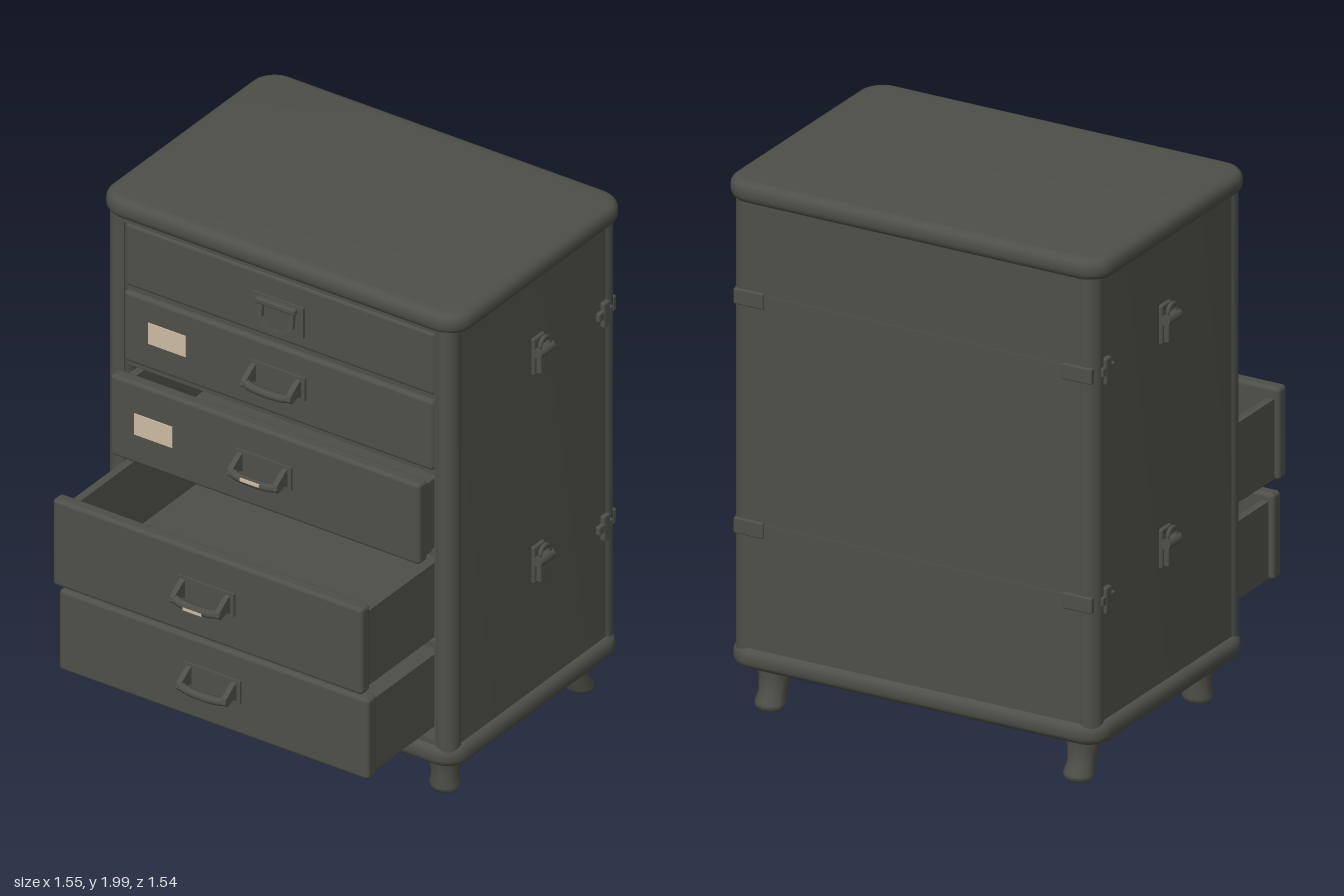
import * as THREE from 'three';
import { toCreasedNormals } from 'three/addons/utils/BufferGeometryUtils.js';
import { RoundedBoxGeometry } from 'three/addons/geometries/RoundedBoxGeometry.js';

const paint = new THREE.MeshStandardMaterial({ color: 0x4f4f49 });
paint.name = 'darkOlivePaint';
const paper = new THREE.MeshStandardMaterial({ color: 0xcdbba3 });
paper.name = 'creamPaper';

function add(parent, name, geometry, x = 0, y = 0, z = 0, material = paint) {
  const mesh = new THREE.Mesh(geometry, material);
  mesh.name = name;
  mesh.position.set(x, y, z);
  parent.add(mesh);
  return mesh;
}

// Box given by its limits on each axis
function block(parent, name, [x0, x1], [y0, y1], [z0, z1], round = 0, material = paint) {
  const s = [x1 - x0, y1 - y0, z1 - z0];
  const geo = round ? new RoundedBoxGeometry(...s, 3, round) : new THREE.BoxGeometry(...s);
  return add(parent, name, geo, (x0 + x1) / 2, (y0 + y1) / 2, (z0 + z1) / 2, material);
}

// Rounded floor plan (plan y is -z), optionally notched for the drawer bay
function plan(hx, zBack, zFront, r, notch = false) {
  const a = -zFront, b = -zBack;
  const s = new THREE.Shape();
  s.moveTo(-hx + r, a);
  if (notch) [[-0.655, a], [-0.655, 0.71], [0.655, 0.71], [0.655, a]].forEach(p => s.lineTo(...p));
  s.lineTo(hx - r, a);
  s.absarc(hx - r, a + r, r, -Math.PI / 2, 0);
  s.absarc(hx - r, b - r, r, 0, Math.PI / 2);
  s.absarc(-hx + r, b - r, r, Math.PI / 2, Math.PI);
  s.absarc(-hx + r, a + r, r, Math.PI, Math.PI * 1.5);
  return s;
}

function slab(parent, name, shape, y0, y1, bevel) {
  const geo = new THREE.ExtrudeGeometry(shape, {
    depth: y1 - y0 - 2 * bevel, bevelEnabled: bevel > 0, bevelThickness: bevel,
    bevelSize: bevel, bevelOffset: -bevel, bevelSegments: 5, curveSegments: 8
  });
  geo.rotateX(-Math.PI / 2);
  return add(parent, name, toCreasedNormals(geo, 0.6), 0, y0 + bevel, 0);
}

// Bail handle: back plate, two wedge brackets and a sagging grip
function bailHandle(parent, y, z) {
  const g = new THREE.Group();
  g.name = 'bailHandle';
  g.position.set(0, y, z);
  parent.add(g);
  block(g, 'handlePlate', [-0.12, 0.12], [-0.045, 0.045], [-0.005, 0.01]);
  const side = new THREE.Shape([[0, 0.04], [0.025, 0.03], [0.07, 0], [0.08, -0.02], [0.065, -0.035], [0.03, -0.025], [0, -0.04]]
    .map(p => new THREE.Vector2(...p)));
  const bracket = new THREE.ExtrudeGeometry(side, { depth: 0.02, bevelEnabled: false });
  bracket.rotateY(-Math.PI / 2);
  for (const x of [-0.085, 0.105]) add(g, 'handleBracket', bracket, x, 0, 0);
  const path = new THREE.CatmullRomCurve3([[-0.105, -0.01, 0.06], [-0.07, -0.022, 0.066], [0.07, -0.022, 0.066], [0.105, -0.01, 0.06]]
    .map(p => new THREE.Vector3(...p)));
  add(g, 'handleGrip', new THREE.TubeGeometry(path, 16, 0.016, 8));
}

// Shield-shaped drop pull for the top drawer
function shieldPull(parent, y, z) {
  block(parent, 'pullPlate', [-0.108, 0.108], [y - 0.06, y + 0.06], [z - 0.005, z + 0.01]);
  const outline = k => [[-0.075, 0.05], [0.075, 0.05], [0.075, -0.03], [0.02, -0.075], [-0.02, -0.075], [-0.075, -0.03]]
    .map(p => new THREE.Vector2(p[0] * k, p[1] * k));
  const s = new THREE.Shape(outline(1));
  s.holes.push(new THREE.Path(outline(0.76).reverse()));
  const ring = add(parent, 'shieldPull', new THREE.ExtrudeGeometry(s, { depth: 0.015, bevelEnabled: false }), 0, y, z + 0.01);
  ring.rotation.x = -0.1;
  block(parent, 'pullHinge', [-0.085, 0.085], [y + 0.03, y + 0.055], [z, z + 0.032], 0.008);
}

// Drawer front with an open tray behind it
function drawer(parent, name, y0, y1, zFace, boxTop) {
  const g = new THREE.Group();
  g.name = name;
  parent.add(g);
  const zb = zFace - 0.055, back = Math.max(-0.68, zFace - 0.92);
  block(g, 'drawerFront', [-0.654, 0.654], [y0, y1], [zb, zFace], 0.015);
  if (boxTop) {
    for (const x of [-0.62, 0.62]) block(g, 'drawerSide', [x - 0.015, x + 0.015], [y0 + 0.005, boxTop], [back, zb + 0.01]);
    block(g, 'drawerBottom', [-0.62, 0.62], [y0 + 0.01, y0 + 0.03], [back, zb + 0.01]);
    block(g, 'drawerBack', [-0.62, 0.62], [y0 + 0.01, boxTop], [back, back + 0.025]);
  }
  return g;
}

function foot(parent, x, z, lean) {
  const profile = [[0, 0], [0.05, 0], [0.057, 0.02], [0.05, 0.06], [0.058, 0.11], [0.068, 0.14], [0.07, 0.175]]
    .map(p => new THREE.Vector2(...p));
  const geo = new THREE.LatheGeometry(profile, 12);
  const p = geo.attributes.position;
  for (let i = 0; i < p.count; i++) {
    const t = 1 - p.getY(i) / 0.175;
    p.setZ(i, p.getZ(i) * 0.92 - lean * t * t);
  }
  geo.computeVertexNormals();
  add(parent, 'foot', geo, x, 0, z);
}

// Side catch, built for the +x side and turned for the other
function sideCatch(parent, y, s) {
  const g = new THREE.Group();
  g.name = 'sideCatch';
  g.position.set(s * 0.725, y, -0.27);
  if (s < 0) g.rotation.y = Math.PI;
  parent.add(g);
  block(g, 'catchPlate', [-0.01, 0.012], [-0.09, 0.06], [-0.035, 0.035], 0.008);
  block(g, 'catchLever', [0.005, 0.03], [-0.085, 0.02], [-0.022, 0.022], 0.008);
  const knob = add(g, 'catchKnuckle', new THREE.CylinderGeometry(0.02, 0.02, 0.085, 10), 0.03, 0.01, 0);
  knob.rotation.x = Math.PI / 2;
  const loop = add(g, 'catchLoop', new THREE.TorusGeometry(0.03, 0.008, 6, 14), 0.032, 0.032, 0);
  loop.rotation.set(0, Math.PI / 2, 0);
  loop.rotation.z = 0.3;
}

export function createModel() {
  const model = new THREE.Group();
  model.name = 'drawerCabinet';

  // Carcass, lid and plinth
  slab(model, 'cabinetBody', plan(0.725, -0.745, 0.25, 0.06, true), 0.2, 1.93, 0);
  slab(model, 'topSlab', plan(0.765, -0.77, 0.27, 0.1), 1.905, 1.988, 0.035);
  slab(model, 'baseSlab', plan(0.752, -0.765, 0.27, 0.09), 0.157, 0.24, 0.035);
  block(model, 'topRail', [-0.66, 0.66], [1.895, 1.93], [-0.72, 0.25]);
  block(model, 'bottomRail', [-0.66, 0.66], [0.21, 0.255], [-0.72, 0.25]);
  for (const y of [1.63, 1.33, 0.998, 0.628])
    block(model, 'drawerDivider', [-0.66, 0.66], [y - 0.012, y + 0.012], [-0.72, 0.238]);

  // Rounded corner posts
  for (const x of [-0.686, 0.686]) {
    add(model, 'frontPost', new THREE.CylinderGeometry(0.046, 0.046, 1.72, 20), x, 1.07, 0.211);
    add(model, 'backPost', new THREE.CylinderGeometry(0.046, 0.046, 1.72, 20), x, 1.07, -0.704);
  }

  // Drawers: name, bottom, top, face position, tray top
  const rows = [
    ['topDrawer', 1.64, 1.892, 0.25, 0],
    ['secondDrawer', 1.34, 1.622, 0.258, 0],
    ['thirdDrawer', 1.0, 1.325, 0.34, 1.29],
    ['fourthDrawer', 0.645, 0.992, 0.686, 0.95],
    ['bottomDrawer', 0.284, 0.608, 0.648, 0.58]
  ];
  const handleY = [1.75, 1.49, 1.17, 0.83, 0.46];
  rows.forEach(([name, y0, y1, z, top], i) => {
    const g = drawer(model, name, y0, y1, z, top);
    if (i === 0) shieldPull(g, handleY[i], z);
    else bailHandle(g, handleY[i], z);
    // Paper labels and card slips behind the grips
    if (i === 1 || i === 2) {
      const y = i === 1 ? 1.488 : 1.162;
      block(g, 'paperLabel', [-0.547, -0.388], [y - 0.042, y + 0.042], [z - 0.003, z + 0.004], 0, paper);
    }
    if (i === 2 || i === 3) {
      const y = handleY[i] - (i === 2 ? 0.02 : 0.03);
      block(g, 'cardSlip', [-0.045, 0.035], [y - 0.006, y + 0.006], [z + 0.079, z + 0.084], 0, paper);
    }
  });

  // Catches, hinges and feet on both sides
  for (const s of [-1, 1]) {
    for (const y of [1.6, 0.76]) sideCatch(model, y, s);
    for (const y of [1.55, 0.69]) {
      const x = s * 0.728;
      block(model, 'hingePlate', [x - 0.014, x + 0.014], [y - 0.05, y + 0.05], [-0.69, -0.652], 0.006);
      block(model, 'hingeArm', [x - 0.012, x + 0.012], [y - 0.015, y + 0.02], [-0.71, -0.625], 0.006);
      const bx = s * 0.66;
      block(model, 'backHingeLeaf', [bx - 0.06, bx + 0.06], [y - 0.03, y + 0.03], [-0.756, -0.735], 0.006);
    }
    foot(model, s * 0.62, 0.135, 0);
    foot(model, s * 0.62, -0.635, 0.045);
  }

  // Shallow straps across the back
  for (const y of [1.55, 0.69])
    block(model, 'backStrap', [-0.64, 0.64], [y - 0.022, y + 0.022], [-0.749, -0.74]);

  return model;
}
